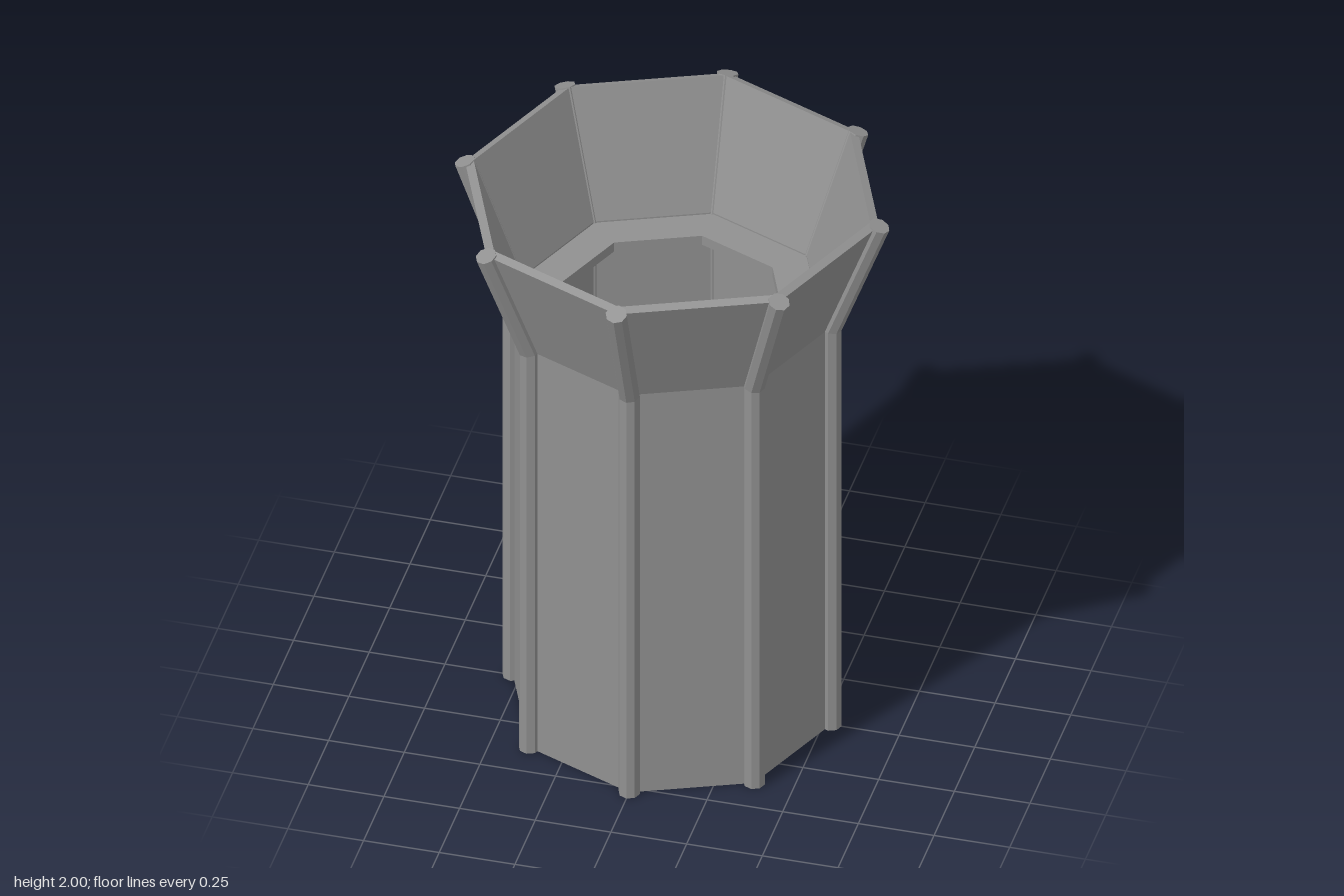
import * as THREE from 'three';

const SIDES = 8;
const BEND_Y = 1.56; // height where the wall starts to flare
const material = new THREE.MeshStandardMaterial({ color: 0x909090, flatShading: true });

// Octagonal ring with a corner on each axis, from a closed profile of [radius, height]
function ring(name, profile) {
  const points = profile.map(([r, y]) => new THREE.Vector2(r, y));
  const mesh = new THREE.Mesh(new THREE.LatheGeometry(points, SIDES), material);
  mesh.name = name;
  return mesh;
}

// Eight-sided rod, upright to the bend (mitred there), then leaning outward along +z
function postGeometry() {
  const rows = [
    { z: 0.525, y: 0, squash: 1, tilt: 0 },
    { z: 0.525, y: BEND_Y, squash: 1, tilt: 0.18 },
    { z: 0.685, y: 1.988, squash: 0.937, tilt: 0.35 },
  ];
  const geometry = new THREE.CylinderGeometry(0.035, 0.035, 2, 8, 2);
  const p = geometry.attributes.position;
  for (let i = 0; i < p.count; i++) {
    const row = rows[Math.round(p.getY(i)) + 1];
    const out = p.getZ(i);
    p.setXYZ(i, p.getX(i), row.y - out * row.tilt, row.z + out * row.squash);
  }
  geometry.computeVertexNormals();
  return geometry;
}

export function createModel() {
  const group = new THREE.Group();
  group.name = 'flaredOctagonalTower';

  // Thin wall: straight shaft with a flared collar, its rim square to the flare
  group.add(ring('wall', [
    [0.495, 0], [0.525, 0], [0.525, BEND_Y], [0.684, 1.987],
    [0.655, 1.997], [0.495, BEND_Y + 0.01], [0.495, 0],
  ]));

  // Inner shelf at the foot of the flare
  group.add(ring('shelf', [
    [0.37, 1.53], [0.5, 1.53], [0.5, 1.565], [0.37, 1.565], [0.37, 1.53],
  ]));

  // Bent rods covering the corners
  const geometry = postGeometry();
  const posts = new THREE.Group();
  posts.name = 'cornerPosts';
  for (let i = 0; i < SIDES; i++) {
    const post = new THREE.Mesh(geometry, material);
    post.name = `cornerPost${i + 1}`;
    post.rotation.y = (i / SIDES) * Math.PI * 2;
    posts.add(post);
  }
  group.add(posts);
  return group;
}
